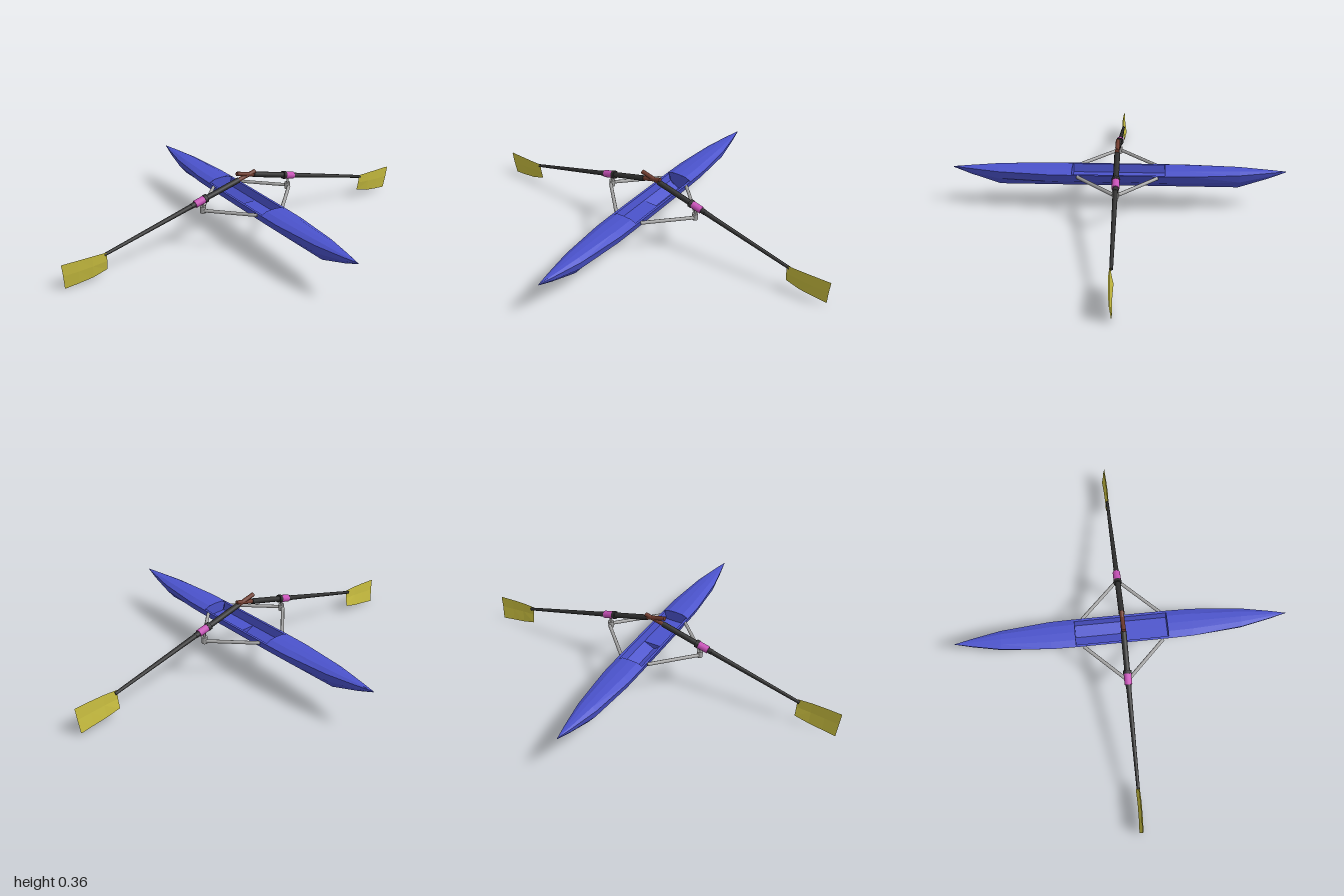
import * as THREE from 'three';

const mat = (name, color) => {
  const m = new THREE.MeshStandardMaterial({ color, side: THREE.DoubleSide });
  m.name = name;
  return m;
};

// Faceted surface through rows of equally many points
function loft(rows) {
  const n = rows[0].length, index = [];
  for (let i = 0; i < rows.length - 1; i++) {
    for (let j = 0; j < n - 1; j++) {
      const a = i * n + j, b = a + n;
      index.push(a, b, a + 1, a + 1, b, b + 1);
    }
  }
  const g = new THREE.BufferGeometry();
  g.setAttribute('position', new THREE.Float32BufferAttribute(rows.flat(2), 3));
  g.setIndex(index);
  const flat = g.toNonIndexed();
  flat.computeVertexNormals();
  return flat;
}

function add(parent, name, geometry, material) {
  const mesh = new THREE.Mesh(geometry, material);
  mesh.name = name;
  parent.add(mesh);
  return mesh;
}

// Round bar between two points, r1 at the start and r2 at the end
function bar(parent, name, from, to, r1, r2, material, sides = 10) {
  const a = new THREE.Vector3(...from), b = new THREE.Vector3(...to);
  const d = b.clone().sub(a);
  const mesh = add(parent, name, new THREE.CylinderGeometry(r2, r1, d.length(), sides), material);
  mesh.position.copy(a).add(b).multiplyScalar(0.5);
  mesh.quaternion.setFromUnitVectors(new THREE.Vector3(0, 1, 0), d.normalize());
  return mesh;
}

export function createModel() {
  const blue = mat('hullBlue', 0x4b53cc);
  const dark = mat('shaftBlack', 0x2e2e2e);
  const yellow = mat('bladeYellow', 0xcabf40);
  const pink = mat('collarPink', 0xc850b8);
  const grey = mat('riggerGrey', 0xa6a6a6);
  const brown = mat('gripBrown', 0x6e3a2c);
  const model = new THREE.Group();

  // Hull: stations of z, half width, gunwale, chine, keel and deck ridge heights
  const boat = new THREE.Group();
  boat.name = 'boat';
  boat.position.x = 0.005;
  model.add(boat);
  const half = [
    [0.845, 0, 0.218, 0.216, 0.214, 0.219],
    [0.76, 0.02, 0.217, 0.196, 0.178, 0.223],
    [0.61, 0.05, 0.215, 0.172, 0.125, 0.23],
    [0.36, 0.073, 0.214, 0.17, 0.125, 0.231],
    [0.235, 0.075, 0.214, 0.17, 0.125, 0.231],
  ];
  const stations = [...half, ...half.map(([z, ...r]) => [-z, ...r]).reverse()];
  add(boat, 'hull', loft(stations.map(([z, w, g, c, k]) => [
    [-w, g, z], [-0.78 * w, c, z], [0, k, z], [0.78 * w, c, z], [w, g, z],
  ])), blue);

  // Fore and aft decks, slightly cambered
  for (const s of [1, -1]) {
    add(boat, s > 0 ? 'frontDeck' : 'rearDeck', loft(half.map(([z, w, g, , , d]) => [
      [-w, g, s * z], [-0.55 * w, g + 0.85 * (d - g), s * z], [0, d, s * z],
      [0.55 * w, g + 0.85 * (d - g), s * z], [w, g, s * z],
    ])), blue);
    // Bulkhead closing the end of the cockpit
    const z = s * 0.235;
    add(boat, 'bulkhead', loft([
      [[-0.075, 0.214, z], [-0.041, 0.228, z], [0, 0.231, z], [0.041, 0.228, z], [0.075, 0.214, z]],
      [[-0.063, 0.214, z], [-0.05, 0.172, z], [0, 0.145, z], [0.05, 0.172, z], [0.063, 0.214, z]],
    ]), blue);
  }

  // Open cockpit: V-shaped well behind, flat floor in front
  const well = [[-0.235, 0.145], [0, 0.145], [0, 0.172], [0.235, 0.172]];
  add(boat, 'cockpit', loft(well.map(([z, k]) => [
    [-0.075, 0.214, z], [-0.063, 0.214, z], [-0.055, 0.172, z], [0, k, z],
    [0.055, 0.172, z], [0.063, 0.214, z], [0.075, 0.214, z],
  ])), blue);

  for (const s of [1, -1]) {
    const side = s > 0 ? 'left' : 'right';

    // Rigger: two struts meeting at the oarlock
    const rigger = new THREE.Group();
    rigger.name = side + 'Rigger';
    model.add(rigger);
    const px = s * 0.26 + 0.005;
    for (const f of [1, -1]) {
      bar(rigger, 'strut', [s * 0.075 + 0.005, 0.205, f * 0.2 + 0.005], [px, 0.205, f * 0.012 + 0.005],
        0.009, 0.009, grey, 8);
    }
    bar(rigger, 'oarlockPost', [px, 0.19, 0.005], [px, 0.225, 0.005], 0.015, 0.015, grey, 10);
    bar(rigger, 'oarlockPin', [px, 0.225, 0.005], [px, 0.25, 0.005], 0.006, 0.006, grey, 8);

    // Oar: points along the sloping shaft by distance from the centre line
    const oar = new THREE.Group();
    oar.name = side + 'Oar';
    oar.position.y = s * 0.005;
    model.add(oar);
    const at = (x) => [s * x, 0.33 - 0.262 * x, 0.006 - 0.006 * Math.max(x, 0)];
    bar(oar, 'grip', at(-0.055), at(0.045), 0.011, 0.011, brown);
    bar(oar, 'innerShaft', at(0.045), at(0.32), 0.0145, 0.014, dark);
    bar(oar, 'outerShaft', at(0.32), at(0.79), 0.0125, 0.008, dark);
    bar(oar, 'collarStop', at(0.232), at(0.248), 0.021, 0.021, dark, 12);
    bar(oar, 'collar', at(0.248), at(0.3), 0.019, 0.019, pink, 12);

    // Spoon blade, bent along its length and across its height
    const cols = [
      [0.778, 0.134, 0.09, 0.042, 0.002], [0.85, 0.136, 0.085, 0.023, 0.004],
      [0.92, 0.136, 0.08, 0.014, 0.002], [0.987, 0.135, 0.077, 0.006, -0.002],
    ];
    const face = (dz) => cols.map(([x, t, m, b, z], i) => [
      [s * (x + (i === 3 ? 0.01 : 0)), t, z + 0.004 + dz],
      [s * (x + (i === 3 ? 0.005 : 0)), m, z + 0.001 + dz],
      [s * x, b, z - 0.008 + dz],
    ]);
    add(oar, 'blade', loft(face(0.002)), yellow);
    add(oar, 'bladeBack', loft(face(-0.002)), yellow);
  }
  return model;
}
